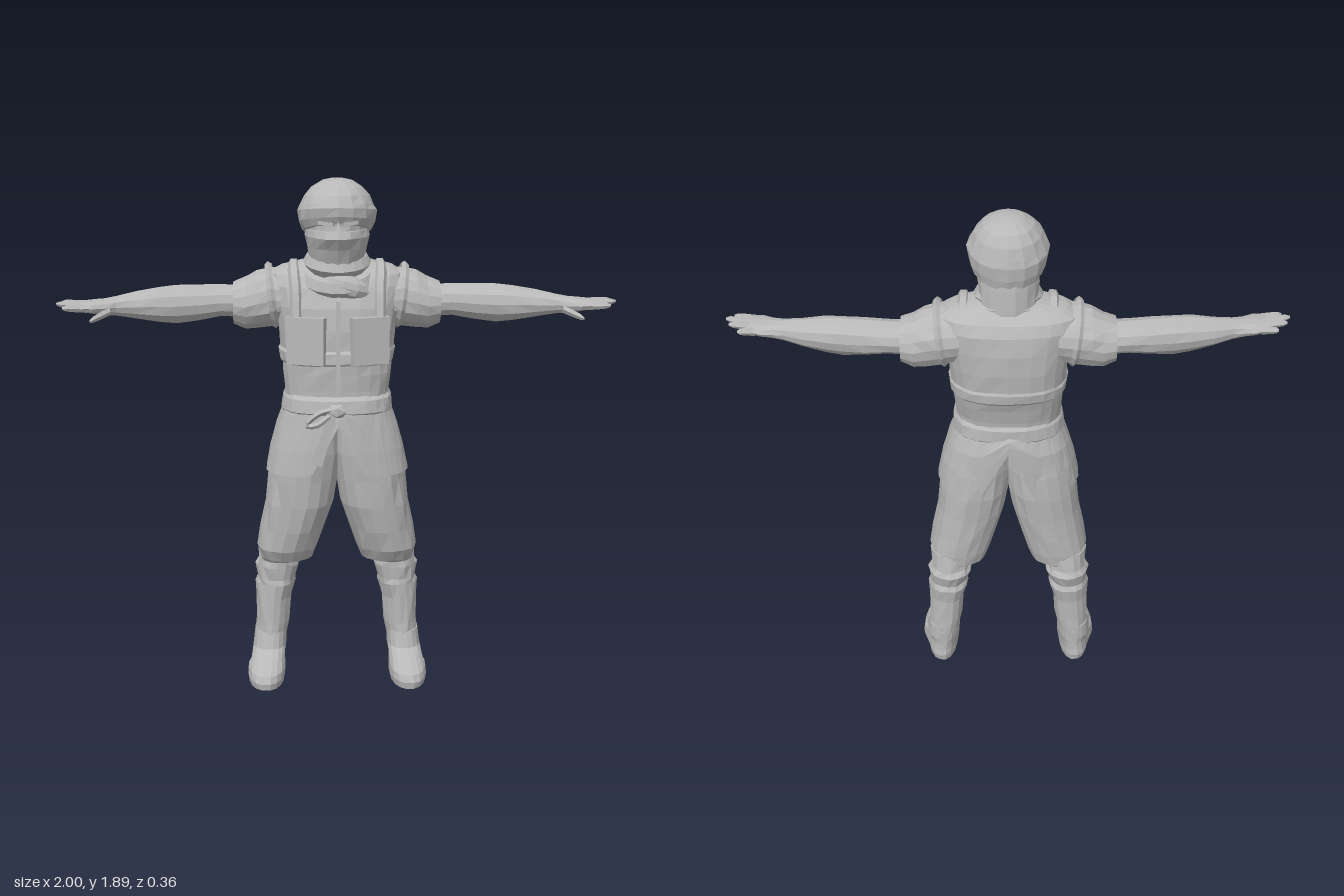
import * as THREE from 'three';

const cloth = new THREE.MeshStandardMaterial({ color: 0xb8b8b8, flatShading: true, side: THREE.DoubleSide });
cloth.name = 'plainGrey';

// Small repeatable wobble for creased cloth
const wobble = (i, j) => {
  const s = Math.sin(i * 12.9898 + j * 78.233) * 43758.5453;
  return (s - Math.floor(s)) * 2 - 1;
};

// Loft of oval rings. Axis 'y': ring = [y, cx, cz, rx, rz]. Axis 'x': ring = [x, cz, cy, rz, ry].
function loft(axis, rings, { n = 16, p = 2, crease = 0.02, caps = true, move } = {}) {
  const pos = [], idx = [];
  const put = (t, a, b) => pos.push(...(axis === 'y' ? [a, t, b] : [t, b, a]));
  const pw = (v) => Math.sign(v) * Math.abs(v) ** (2 / p);
  rings.forEach(([t, c1, c2, r1, r2], j) => {
    for (let i = 0; i < n; i++) {
      const a = (i / n) * Math.PI * 2, k = 1 + crease * wobble(i + 1, j + 1);
      put(t, c1 + pw(Math.cos(a)) * r1 * k, c2 + pw(Math.sin(a)) * r2 * k);
    }
  });
  for (let j = 0; j < rings.length - 1; j++) {
    for (let i = 0; i < n; i++) {
      const a = j * n + i, b = j * n + (i + 1) % n;
      idx.push(a, a + n, b, b, a + n, b + n);
    }
  }
  if (caps) {
    const lo = pos.length / 3, last = (rings.length - 1) * n, end = rings[rings.length - 1];
    put(rings[0][0], rings[0][1], rings[0][2]);
    put(end[0], end[1], end[2]);
    for (let i = 0; i < n; i++) {
      const k = (i + 1) % n;
      idx.push(lo, i, k, lo + 1, last + k, last + i);
    }
  }
  const g = new THREE.BufferGeometry();
  g.setAttribute('position', new THREE.Float32BufferAttribute(pos, 3));
  g.setIndex(idx);
  if (move) {
    const v = new THREE.Vector3(), at = g.attributes.position;
    for (let i = 0; i < at.count; i++) {
      move(v.fromBufferAttribute(at, i));
      at.setXYZ(i, v.x, v.y, v.z);
    }
  }
  g.computeVertexNormals();
  return g;
}

function mirrored(geo) {
  const g = geo.clone().scale(-1, 1, 1), ix = g.index.array;
  for (let i = 0; i < ix.length; i += 3) [ix[i], ix[i + 1]] = [ix[i + 1], ix[i]];
  g.computeVertexNormals();
  return g;
}

// Flat cloth strip through points in the front plane
function strip(points, z, depth) {
  const shape = new THREE.Shape(points.map(([x, y]) => new THREE.Vector2(x, y)));
  return new THREE.ExtrudeGeometry(shape, { depth, bevelEnabled: false }).translate(0, 0, z);
}

export function createModel() {
  const model = new THREE.Group();
  model.name = 'scarfedFigure';
  const add = (name, geo) => {
    const m = new THREE.Mesh(geo, cloth);
    m.name = name;
    model.add(m);
    return m;
  };
  const pair = (name, geo) => {
    add(name + 'Left', geo);
    add(name + 'Right', mirrored(geo));
  };

  // Boots and feet
  pair('foot', loft('y', [
    [0, 0.27, 0.01, 0.068, 0.155], [0.025, 0.27, 0.01, 0.072, 0.16], [0.05, 0.268, 0.005, 0.07, 0.152],
    [0.08, 0.264, -0.025, 0.066, 0.12], [0.11, 0.258, -0.055, 0.063, 0.09], [0.17, 0.253, -0.065, 0.06, 0.082],
  ], {
    n: 18, p: 2.3, crease: 0.01,
    move: (v) => { if (v.z < 0 && v.y < 0.09) v.x = 0.262 + (v.x - 0.27) * 0.85; },
  }));
  pair('bootShaft', loft('y', [
    [0.14, 0.254, -0.065, 0.06, 0.083], [0.2, 0.246, -0.066, 0.064, 0.08], [0.3, 0.24, -0.068, 0.068, 0.08],
    [0.36, 0.232, -0.07, 0.076, 0.088], [0.38, 0.232, -0.066, 0.071, 0.08], [0.43, 0.225, -0.07, 0.083, 0.09],
    [0.45, 0.222, -0.066, 0.075, 0.083], [0.52, 0.215, -0.06, 0.08, 0.08],
  ], { crease: 0.05 }));

  // Baggy trousers gathered below the knee
  pair('trouserLeg', loft('y', [
    [0.46, 0.21, -0.045, 0.075, 0.08], [0.475, 0.19, -0.035, 0.1, 0.1], [0.52, 0.186, -0.027, 0.115, 0.118],
    [0.6, 0.166, -0.018, 0.12, 0.13], [0.7, 0.142, -0.01, 0.127, 0.14], [0.8, 0.126, -0.008, 0.128, 0.148],
    [0.9, 0.112, -0.004, 0.124, 0.15], [1.02, 0.1, 0, 0.105, 0.14],
  ], { n: 18, p: 2.2, crease: 0.03 }));

  // Shirt skirt, split in a V at front and back
  add('shirtSkirt', loft('y', [
    [0.83, 0, 0.004, 0.262, 0.166], [0.92, 0, 0.002, 0.245, 0.165], [1.0, 0, 0, 0.222, 0.162],
    [1.06, 0, 0.005, 0.2, 0.152], [1.1, 0, 0.004, 0.186, 0.136],
  ], {
    n: 48, p: 2.6, crease: 0.008, caps: false,
    move: (v) => {
      const lift = Math.max(0, 1 - Math.abs(v.x) / 0.1);
      v.y += lift * 0.19 * Math.max(0, (1.1 - v.y) / 0.27);
    },
  }));
  // Vest and torso up to the shoulders
  add('vest', loft('y', [
    [1.08, 0, 0.004, 0.188, 0.138], [1.14, 0, 0, 0.192, 0.142], [1.2, 0, -0.006, 0.199, 0.152],
    [1.235, 0, -0.01, 0.2, 0.158], [1.245, 0, -0.012, 0.208, 0.164], [1.28, 0, -0.014, 0.212, 0.166],
    [1.29, 0, -0.016, 0.207, 0.16], [1.36, 0, -0.02, 0.213, 0.162], [1.44, 0, -0.026, 0.225, 0.158],
    [1.51, 0, -0.036, 0.242, 0.14], [1.55, 0, -0.042, 0.245, 0.115], [1.575, 0, -0.04, 0.205, 0.09],
    [1.6, 0, -0.03, 0.1, 0.07],
  ], { n: 24, p: 2.6, crease: 0.012 }));

  // Waist sash with knot, loop and hanging ends
  add('sash', loft('y', [
    [1.055, 0, 0.005, 0.198, 0.15], [1.065, 0, 0.005, 0.204, 0.158],
    [1.11, 0, 0.003, 0.199, 0.154], [1.125, 0, 0.002, 0.19, 0.14],
  ], { n: 28, p: 2.5, crease: 0.012 }));
  add('sashKnot', new THREE.IcosahedronGeometry(0.032, 0).scale(1.2, 0.9, 0.6).translate(-0.005, 1.075, 0.16));
  add('sashEndRight', strip([[-0.035, 1.07], [-0.005, 1.06], [-0.06, 0.87], [-0.095, 0.885]], 0.157, 0.014));
  add('sashEndLeft', strip([[0.02, 1.06], [0.055, 1.05], [0.12, 0.935], [0.085, 0.92]], 0.155, 0.012));
  const loop = new THREE.CatmullRomCurve3([
    [-0.01, 1.085, 0.16], [-0.07, 1.07, 0.168], [-0.115, 1.025, 0.158], [-0.08, 1.025, 0.165], [-0.03, 1.06, 0.165],
  ].map((q) => new THREE.Vector3(...q)));
  add('sashLoop', new THREE.TubeGeometry(loop, 12, 0.011, 5));

  // Chest pockets with flaps, front seam
  for (const s of [-1, 1]) {
    const pocket = new THREE.Group();
    pocket.name = s > 0 ? 'pocketLeft' : 'pocketRight';
    const body = new THREE.Mesh(new THREE.BoxGeometry(0.138, 0.165, 0.03), cloth);
    body.name = 'pocketBody';
    const flap = new THREE.Mesh(new THREE.BoxGeometry(0.142, 0.045, 0.036), cloth);
    flap.name = 'pocketFlap';
    flap.position.set(0, 0.065, 0.002);
    pocket.add(body, flap);
    pocket.position.set(s * 0.113, 1.325, 0.132);
    pocket.rotation.set(-0.02, s * 0.33, 0);
    model.add(pocket);
  }
  add('frontSeam', new THREE.BoxGeometry(0.016, 0.34, 0.012).rotateX(-0.04).translate(0, 1.3, 0.146));

  // Shoulder straps and armhole edging
  const strapPath = new THREE.CatmullRomCurve3([
    [0.15, 1.41, 0.115], [0.15, 1.5, 0.09], [0.155, 1.56, 0.045], [0.155, 1.58, -0.03], [0.155, 1.55, -0.11],
  ].map((q) => new THREE.Vector3(...q)));
  pair('shoulderStrap', new THREE.TubeGeometry(strapPath, 12, 0.022, 6));
  pair('armholeEdge', new THREE.TorusGeometry(0.108, 0.014, 5, 18).rotateY(Math.PI / 2)
    .scale(1, 1, 1.06).rotateZ(-0.12).translate(0.235, 1.465, -0.045));

  // Short sleeves
  pair('sleeve', loft('x', [
    [0.17, -0.045, 1.465, 0.11, 0.1], [0.24, -0.045, 1.458, 0.112, 0.108], [0.29, -0.045, 1.447, 0.108, 0.106],
    [0.33, -0.046, 1.436, 0.1, 0.097], [0.375, -0.045, 1.437, 0.086, 0.078], [0.372, -0.045, 1.44, 0.065, 0.06],
  ], { crease: 0.03 }));
  // Bare arms with palm
  pair('arm', loft('x', [
    [0.34, -0.045, 1.443, 0.066, 0.06], [0.42, -0.042, 1.446, 0.068, 0.058], [0.5, -0.033, 1.44, 0.064, 0.066],
    [0.58, -0.022, 1.437, 0.062, 0.071], [0.64, -0.012, 1.438, 0.06, 0.064], [0.72, 0.0, 1.438, 0.053, 0.05],
    [0.79, 0.018, 1.438, 0.043, 0.036], [0.83, 0.03, 1.438, 0.05, 0.031], [0.87, 0.04, 1.44, 0.062, 0.025],
    [0.915, 0.046, 1.443, 0.056, 0.018],
  ], { n: 12, crease: 0.025 }));
  // Fingers and thumb: [root x, root z, tip x, tip z, root y, tip y]
  [
    [0.89, 0.002, 0.95, -0.012, 1.44, 1.446], [0.895, 0.03, 0.985, 0.026, 1.444, 1.454],
    [0.895, 0.058, 1.0, 0.065, 1.444, 1.454], [0.89, 0.083, 0.975, 0.102, 1.44, 1.444],
    [0.81, 0.06, 0.875, 0.138, 1.427, 1.404],
  ].forEach(([x, z, tx, tz, y, ty], i) => {
    const ring = (t, r) => [x + (tx - x) * t, z + (tz - z) * t, y + (ty - y) * t, r * (i === 4 ? 1.5 : 1), r];
    pair(i === 4 ? 'thumb' : 'finger' + (i + 1),
      loft('x', [ring(0, 0.016), ring(0.5, 0.014), ring(0.85, 0.011), ring(1, 0.005)], { n: 6 }));
  });

  // Draped scarf around the neck, lower at the front
  const drape = (r, tube, sx, sz, tilt, y, z) => new THREE.TorusGeometry(r, tube, 6, 18)
    .rotateX(Math.PI / 2).scale(sx, 1, sz).rotateX(tilt).translate(0, y, z);
  add('scarfLower', drape(0.1, 0.036, 1.08, 1.05, 0.35, 1.545, 0.005));
  add('scarfUpper', drape(0.09, 0.033, 1.0, 1.05, 0.2, 1.595, 0.0));
  add('scarfFront', new THREE.SphereGeometry(0.08, 9, 6).scale(1.1, 0.55, 0.5).rotateZ(-0.25).translate(0.03, 1.515, 0.095));

  // Face cloth from neck to nose
  add('faceCloth', loft('y', [
    [1.54, 0, 0.0, 0.1, 0.1], [1.6, 0, 0.002, 0.1, 0.115], [1.65, 0, 0.008, 0.108, 0.13],
    [1.69, 0, 0.016, 0.116, 0.138], [1.715, 0, 0.012, 0.112, 0.132],
  ], { n: 16, crease: 0.015, move: (v) => { if (v.z > 0.13 && v.y > 1.67) v.z += 0.012; } }));
  // Face in the open slit, with nose and brows
  add('face', loft('y', [[1.69, 0, 0.012, 0.105, 0.12], [1.73, 0, 0.012, 0.108, 0.117], [1.78, 0, 0.01, 0.11, 0.12]]));
  add('nose', new THREE.ConeGeometry(0.022, 0.05, 4).rotateY(Math.PI / 4).translate(0, 1.728, 0.136));
  pair('brow', new THREE.BoxGeometry(0.055, 0.012, 0.02).rotateY(0.3).rotateZ(0.12).translate(0.042, 1.742, 0.122));

  // Wrapped headcloth, edge lower at the back
  add('headcloth', loft('y', [
    [1.7, 0, 0.005, 0.106, 0.11], [1.705, 0, 0.004, 0.124, 0.126], [1.735, 0, 0.006, 0.137, 0.137],
    [1.775, 0, 0.007, 0.142, 0.142], [1.795, 0, 0.007, 0.132, 0.135], [1.83, 0, 0.006, 0.116, 0.122],
    [1.86, 0, 0.005, 0.09, 0.098], [1.882, 0, 0.006, 0.055, 0.06], [1.89, 0, 0.008, 0.02, 0.022],
  ], { n: 16, crease: 0.015, move: (v) => { v.y += v.z * 0.28 * Math.max(0, (1.87 - v.y) / 0.17); } }));
  // Cloth hanging at the nape
  add('napeCloth', loft('y', [
    [1.55, 0, -0.05, 0.105, 0.085], [1.6, 0, -0.05, 0.1, 0.08], [1.66, 0, -0.04, 0.105, 0.085], [1.72, 0, -0.03, 0.105, 0.085],
  ], { n: 14, crease: 0.03 }));

  return model;
}
